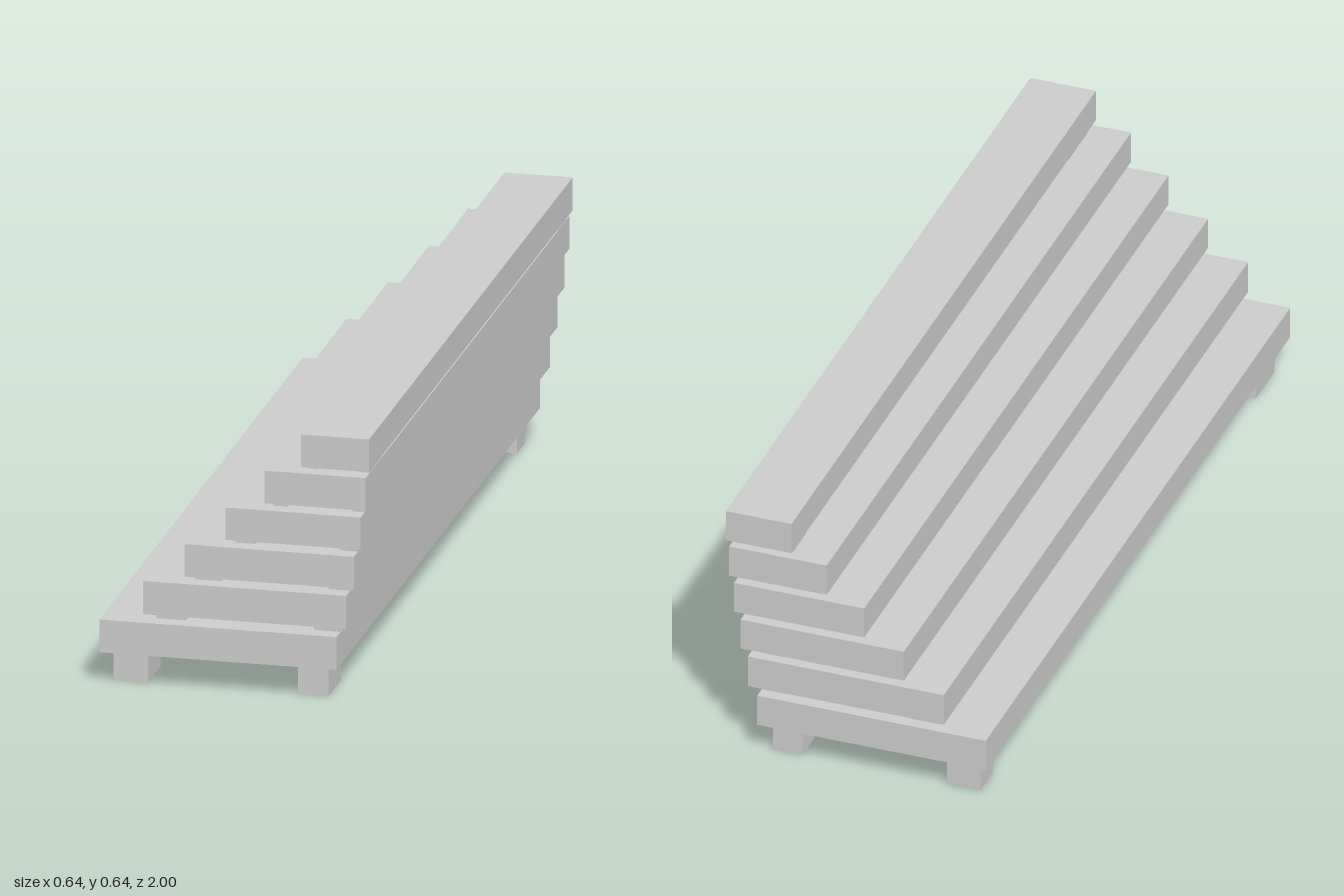
import * as THREE from 'three';

// Each tier: slab [x0, x1, y0, y1], then x ranges of the left and right blocks beneath it
const TIERS = [
  { slab: [-0.319, 0.241, 0.077, 0.156], blocks: [[-0.295, -0.213], [0.141, 0.213]] },
  { slab: [-0.216, 0.264, 0.177, 0.257], blocks: [[-0.194, -0.125], [0.178, 0.239]] },
  { slab: [-0.118, 0.282, 0.275, 0.353], blocks: [[-0.101, -0.041], [0.212, 0.262]] },
  { slab: [-0.021, 0.298, 0.371, 0.449], blocks: [[-0.007, 0.039], [0.241, 0.282]] },
  { slab: [0.071, 0.310, 0.466, 0.545], blocks: [[0.082, 0.116], [0.268, 0.298]] },
  { slab: [0.157, 0.318, 0.560, 0.639], blocks: [[0.164, 0.187], [0.289, 0.309]] },
];

// Front blocks are deeper than the back ones
const BLOCK_Z = { front: [0.84, 0.96], back: [-0.97, -0.89] };

export function createModel() {
  const model = new THREE.Group();
  model.name = 'steppedBench';
  const material = new THREE.MeshStandardMaterial({ color: 0xcccccc, flatShading: true });

  // Box spanning the given ranges
  const addBox = (name, [x0, x1], [y0, y1], [z0, z1]) => {
    const mesh = new THREE.Mesh(new THREE.BoxGeometry(x1 - x0, y1 - y0, z1 - z0), material);
    mesh.position.set((x0 + x1) / 2, (y0 + y1) / 2, (z0 + z1) / 2);
    mesh.name = name;
    model.add(mesh);
  };

  let floor = 0; // top of the tier below
  TIERS.forEach(({ slab: [x0, x1, y0, y1], blocks }, i) => {
    addBox(`slab${i + 1}`, [x0, x1], [y0, y1], [-1, 1]);

    // Four feet under the lowest slab, four spacers under every other one
    const kind = i === 0 ? 'foot' : `spacer${i}`;
    for (const [end, z] of Object.entries(BLOCK_Z)) {
      blocks.forEach((x, side) => addBox(`${kind}_${end}_${side ? 'left' : 'right'}`, x, [floor, y0], z));
    }
    floor = y1;
  });

  return model;
}
